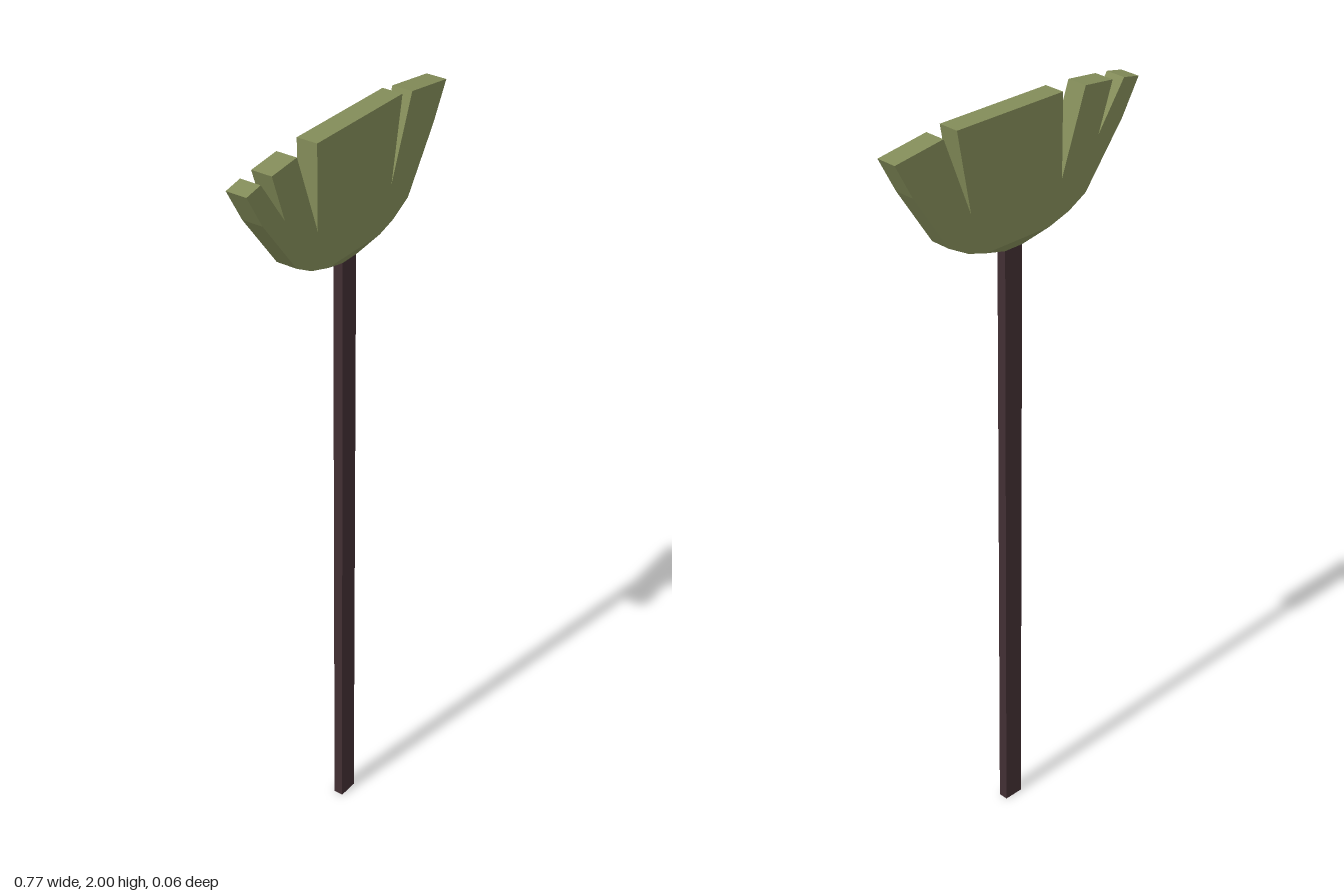
import * as THREE from 'three';

const leafGreen = new THREE.MeshStandardMaterial({ color: 0x838c59, flatShading: true });
leafGreen.name = 'leafGreen';
const stemBrown = new THREE.MeshStandardMaterial({ color: 0x422f33, flatShading: true });
stemBrown.name = 'stemBrown';

const LEAF_DEPTH = 0.056;
const STEM = { left: -0.015, right: 0.04, depth: 0.026, top: 1.65 };
const NECK = { left: -0.09, right: 0.115, top: 1.675 };

// Fan outline, clockwise from the left tip, with three notches in the top edge
const OUTLINE = [
  [-0.383, 1.97], [-0.333, 1.98], [-0.25, 1.86], [-0.294, 1.985], [-0.204, 1.995],
  [-0.13, 1.785], [-0.13, 2], [0.2, 2], [0.16, 1.785], [0.24, 1.992], [0.383, 1.972],
  [0.333, 1.88], [0.23, 1.725], [0.17, 1.692], [NECK.right, NECK.top],
  [NECK.left, NECK.top], [-0.155, 1.695], [-0.21, 1.725], [-0.33, 1.88],
];

function add(group, name, geometry, material) {
  const mesh = new THREE.Mesh(geometry, material);
  mesh.name = name;
  group.add(mesh);
}

// Box spanning left..right and bottom..top, centred in z
function block(left, right, bottom, top, depth) {
  return new THREE.BoxGeometry(right - left, top - bottom, depth)
    .translate((left + right) / 2, (bottom + top) / 2, 0);
}

export function createModel() {
  const model = new THREE.Group();
  model.name = 'fanLeafPlant';

  // Flat notched leaf
  const shape = new THREE.Shape(OUTLINE.map(([x, y]) => new THREE.Vector2(x, y)));
  const leaf = new THREE.ExtrudeGeometry(shape, { depth: LEAF_DEPTH, bevelEnabled: false });
  leaf.translate(0, 0, -LEAF_DEPTH / 2);
  add(model, 'leaf', leaf, leafGreen);

  // Neck tapering from the leaf down to the stem
  const neck = block(NECK.left, NECK.right, STEM.top, NECK.top, LEAF_DEPTH);
  const p = neck.attributes.position;
  const middle = (STEM.top + NECK.top) / 2;
  for (let i = 0; i < p.count; i++) {
    if (p.getY(i) > middle) continue;
    p.setX(i, p.getX(i) < 0 ? STEM.left : STEM.right);
    p.setZ(i, Math.sign(p.getZ(i)) * STEM.depth / 2);
  }
  neck.computeVertexNormals();
  add(model, 'leafNeck', neck, leafGreen);

  // Straight stem
  add(model, 'stem', block(STEM.left, STEM.right, 0, STEM.top, STEM.depth), stemBrown);

  return model;
}
